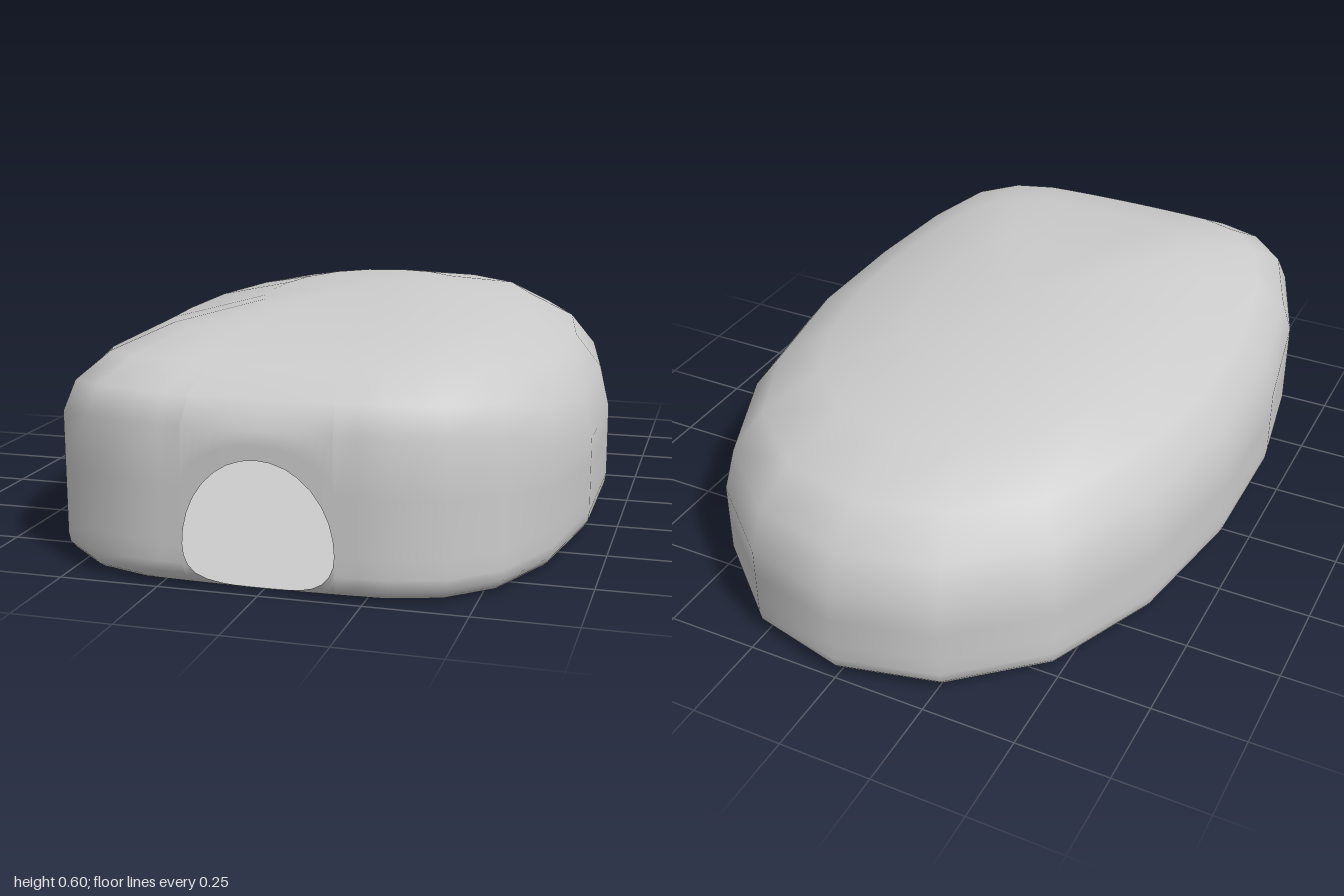
import * as THREE from 'three';
import { mergeVertices } from 'three/addons/utils/BufferGeometryUtils.js';

const HOLE_R = 0.185, HOLE_Y = 0.11, BASE = 0.005, TOP = 0.595;

// Half of the plan outline (x, z), from the back round the left side to the front
function outline() {
  const half = [[0, -1], [0.265, -0.935], [0.485, -0.74], [0.62, -0.43], [0.685, -0.05],
    [0.685, 0.34], [0.635, 0.65], [0.55, 0.85], [0.44, 0.95], [0.31, 0.99]];
  for (const x of [0.24, HOLE_R, 0.182, 0.172, 0.155, 0.13, 0.1, 0.07, 0.035, 0])
    half.push([x, 1 - 0.1 * x * x]);
  const mirrored = half.slice(0, -1).reverse().map(([x, z]) => [-x, z]);
  return half.concat(mirrored);
}

// Dome profile: outline scale and relative drop from the crown
const DOME = [[0.963, 0.67], [0.86, 0.4], [0.67, 0.18], [0.365, 0.045], [0, 0]];

// One column of points: lower part up to the opening, upper part above it
function column(x, z) {
  const u = z > 0.9 ? Math.min(1, Math.abs(x) / HOLE_R) : 1;
  const low = HOLE_Y - (HOLE_Y - BASE - 0.002) * Math.pow(1 - u ** 3, 0.45);
  const high = HOLE_Y + 0.215 * Math.sqrt(1 - u * u);
  const drop = 0.335 * (1 - 0.4 * THREE.MathUtils.smoothstep(z, 0.4, 1));
  const at = (t, y) => [x * t, y, z * t];

  const lower = [at(0, 0), at(0.5, 0.002), at(0.9, BASE)];
  for (const f of [0, 0.12, 0.3, 0.55, 1]) {
    const y = BASE + (low - BASE) * f;
    const k = 1 - Math.min(1, (y - BASE) / 0.05);
    lower.push(at(1 - 0.04 * k * k, y));
  }
  const upper = [0, 0.5, 1].map(f => at(1, high + (TOP - drop - high) * f));
  for (const [t, d] of DOME) upper.push(at(t, TOP - drop * d));
  return { lower, upper };
}

// Join neighbouring columns into a surface facing outward
function addStrips(columns, positions, index) {
  const rows = columns[0].length, start = positions.length / 3;
  for (const c of columns) for (const p of c) positions.push(...p);
  for (let i = 0; i < columns.length - 1; i++) {
    for (let j = 0; j < rows - 1; j++) {
      const a = start + i * rows + j, b = a + rows;
      index.push(a, a + 1, b, b, a + 1, b + 1);
    }
  }
}

export function createModel() {
  const group = new THREE.Group();
  group.name = 'hollowShelter';

  const columns = outline().map(([x, z]) => column(x, z));
  const positions = [], index = [];
  addStrips(columns.map(c => c.lower), positions, index);
  addStrips(columns.map(c => c.upper), positions, index);

  let geometry = new THREE.BufferGeometry();
  geometry.setAttribute('position', new THREE.Float32BufferAttribute(positions, 3));
  geometry.setIndex(index);
  geometry = mergeVertices(geometry, 1e-4);
  geometry.computeVertexNormals();

  // Thin domed shell with an arched opening at the front
  const shell = new THREE.Mesh(geometry,
    new THREE.MeshStandardMaterial({ color: 0xcccccc, side: THREE.DoubleSide }));
  shell.name = 'shell';
  group.add(shell);
  return group;
}
